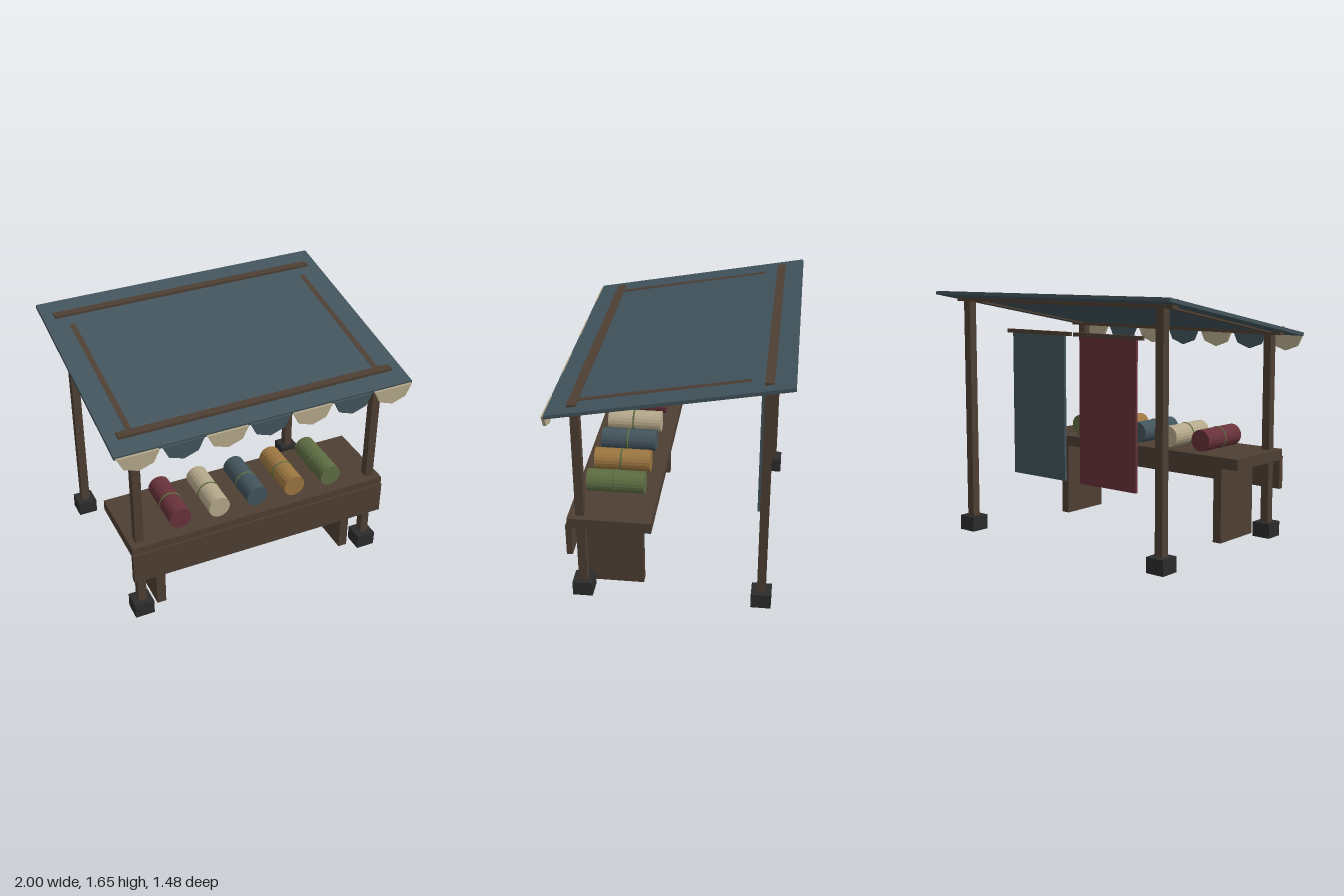
import * as THREE from 'three';

export function createModel() {
  const root = new THREE.Group();
  root.name = 'marketStall';

  const mat = (name, color, side = THREE.FrontSide) => {
    const m = new THREE.MeshStandardMaterial({ color, side, flatShading: true });
    m.name = name;
    return m;
  };
  const wood = mat('darkWood', 0x4e3f33);
  const blue = mat('slateBlueCloth', 0x42545c);
  const red = mat('burgundyCloth', 0x68323a);
  const cream = mat('creamCloth', 0xb5a88a);
  const ochre = mat('ochreCloth', 0x9c7640);
  const green = mat('oliveCloth', 0x5e6d43);
  const stone = mat('darkFooting', 0x2c2c2c);

  const add = (name, geo, material, x, y, z) => {
    const m = new THREE.Mesh(geo, material);
    m.name = name;
    m.position.set(x, y, z);
    root.add(m);
    return m;
  };
  const box = (name, material, w, h, d, x, y, z) =>
    add(name, new THREE.BoxGeometry(w, h, d), material, x, y, z);

  // Posts on square footings, with a cross beam over each pair
  for (const [end, z, top] of [['front', 0.571, 1.398], ['back', -0.585, 1.61]]) {
    for (const [side, x] of [['Left', 0.83], ['Right', -0.83]]) {
      box(end + side + 'Post', wood, 0.056, top, 0.056, x, top / 2, z);
      box(end + side + 'Footing', stone, 0.13, 0.1, 0.13, x, 0.05, z);
    }
    box(end + 'Beam', wood, 1.85, 0.054, 0.056, 0, top, z);
  }

  // Sloping canopy with rafters let into its surface
  const slope = 0.183;
  box('canopy', blue, 2, 0.023, 1.482, 0, 1.507, -0.007).rotation.x = slope;
  for (const x of [-0.838, 0.838]) {
    box('rafter', wood, 0.035, 0.036, 1.17, x, 1.5015, -0.005).rotation.x = slope - 0.003;
  }

  // Scalloped valance, alternating colours
  const scallop = new THREE.Shape();
  for (let i = 0; i <= 4; i++) {
    const a = Math.PI + (i * Math.PI) / 4;
    const x = 0.134 * Math.cos(a), y = 0.115 * Math.sin(a);
    if (i) scallop.lineTo(x, y);
    else scallop.moveTo(x, y);
  }
  scallop.closePath();
  const scallopGeo = new THREE.ExtrudeGeometry(scallop, { depth: 0.018, bevelEnabled: false });
  for (let i = 0; i < 7; i++) {
    const odd = i % 2;
    add('valanceScallop', scallopGeo, odd ? blue : cream, (i - 3) * 0.2855, 1.372, odd ? 0.716 : 0.72);
  }

  // Counter: top, front skirt and two panel legs
  box('counterTop', wood, 1.794, 0.073, 0.534, 0, 0.5605, 0.381);
  box('counterSkirt', wood, 1.794, 0.22, 0.038, 0, 0.435, 0.64);
  for (const x of [-0.686, 0.686]) {
    box('counterLeg', wood, 0.062, 0.53, 0.37, x, 0.265, 0.38);
  }

  // Tied cloth rolls on the counter
  const rollGeo = new THREE.CylinderGeometry(0.073, 0.073, 0.375, 20).rotateX(Math.PI / 2);
  const tieGeo = new THREE.TorusGeometry(0.07, 0.0075, 6, 20);
  [red, cream, blue, ochre, green].forEach((material, i) => {
    const x = (i - 2) * 0.27;
    add('clothRoll', rollGeo, material, x, 0.67, 0.388);
    add('rollTie', tieGeo, green, x, 0.67, 0.395);
  });

  // Hanging cloths on rods at the back
  for (const [name, material, x] of [['burgundy', red, -0.367], ['blue', blue, 0.225]]) {
    box(name + 'HangingCloth', material, 0.46, 0.95, 0.018, x, 0.92, -0.536);
    box(name + 'HangingRod', wood, 0.56, 0.024, 0.024, x, 1.397, -0.536);
  }

  return root;
}
